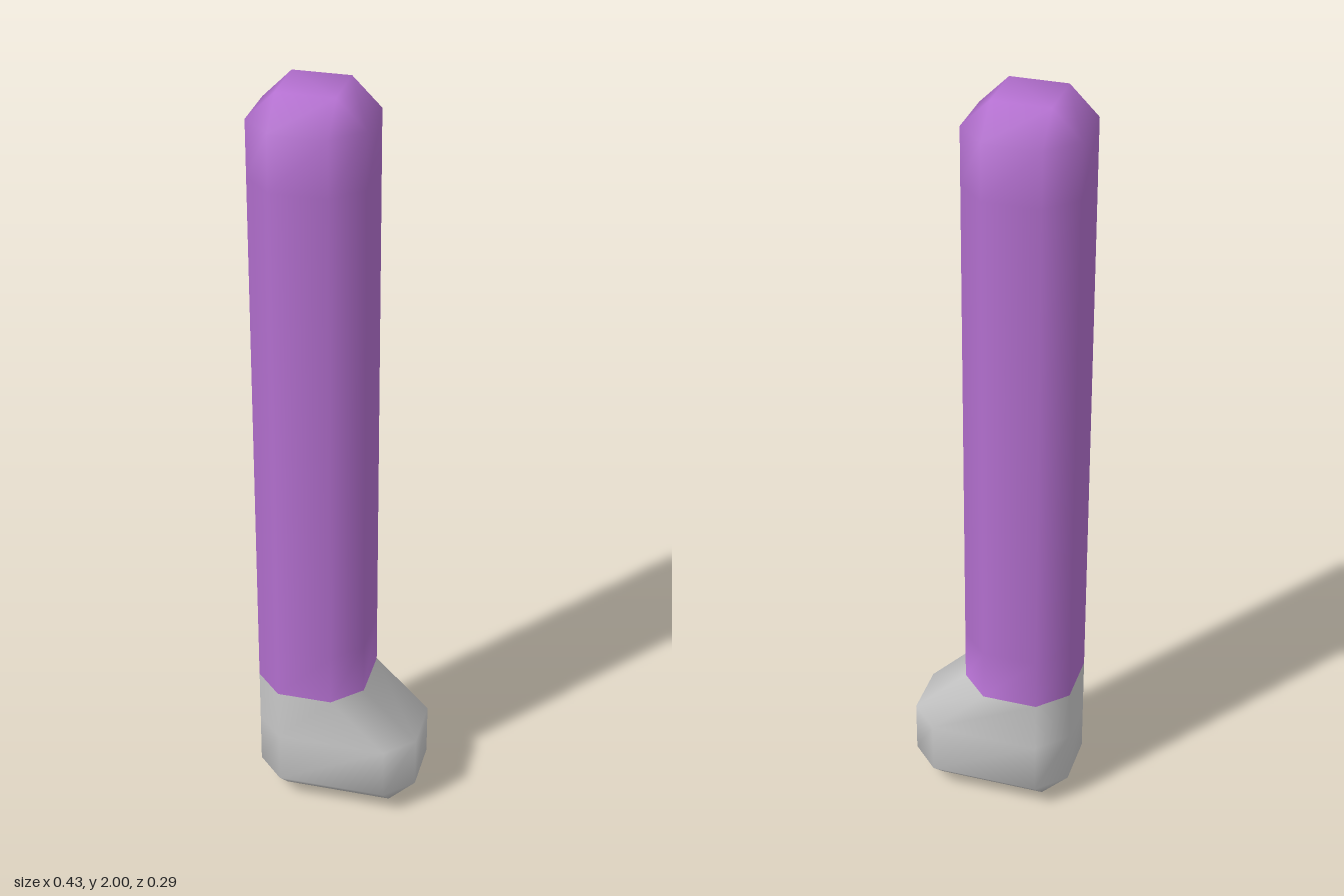
import * as THREE from 'three';
import { mergeVertices } from 'three/addons/utils/BufferGeometryUtils.js';

const U = 1 / 14; // modelling unit: the chamfer size
const ANKLE = 5; // height where the foot meets the leg, in units

// Square with chamfered corners at height y; a cap ring shrinks to the inner square.
function ring(x1, y, cap = false) {
  const x0 = -3, k = cap ? 1 : 0;
  return [
    [x1 - k, 1], [x1 - k, -1], [x1 - 1, k - 2], [x0 + 1, k - 2],
    [x0 + k, -1], [x0 + k, 1], [x0 + 1, 2 - k], [x1 - 1, 2 - k],
  ].map(([x, z]) => [x * U, y * U, z * U]);
}

// Closed smooth skin through the rings, from the sole to the top.
function skin(rings) {
  const n = 8, last = (rings.length - 1) * n, index = [];
  for (let r = 0; r < last; r += n) {
    for (let j = 0; j < n; j++) {
      const a = r + j, b = r + (j + 1) % n;
      index.push(a, b, b + n, a, b + n, a + n);
    }
  }
  for (let j = 1; j < n - 1; j++) {
    index.push(0, j + 1, j, last, last + j, last + j + 1);
  }
  let geo = new THREE.BufferGeometry();
  geo.setAttribute('position', new THREE.Float32BufferAttribute(rings.flat(2), 3));
  geo.setIndex(index);
  geo = mergeVertices(geo);

  // Drop triangles that collapsed where cap corners coincide
  const kept = [], src = geo.index.array;
  for (let i = 0; i < src.length; i += 3) {
    const [a, b, c] = src.slice(i, i + 3);
    if (a !== b && b !== c && c !== a) kept.push(a, b, c);
  }
  geo.setIndex(kept);
  geo.computeVertexNormals();
  return geo;
}

// Part of the skin above or below the ankle, keeping the shared normals.
function section(geo, above) {
  const pos = geo.attributes.position, src = geo.index.array, index = [];
  for (let i = 0; i < src.length; i += 3) {
    const tri = [...src.slice(i, i + 3)];
    const y = tri.reduce((s, v) => s + pos.getY(v), 0) / 3;
    if ((y > ANKLE * U) === above) index.push(...tri);
  }
  const part = geo.clone();
  part.setIndex(index);
  return part.toNonIndexed();
}

export function createModel() {
  const group = new THREE.Group();
  group.name = 'legWithFoot';

  // Foot: sole, long toe section, then a slope back to the ankle
  const rings = [ring(3, 0, true), ring(3, 1), ring(3, 3)];
  // Leg: even rings up to the chamfered top
  for (let y = ANKLE; y <= 27; y += 2) rings.push(ring(1, y));
  rings.push(ring(1, 28, true));
  const geo = skin(rings);

  const addPart = (name, above, color) => {
    const mesh = new THREE.Mesh(section(geo, above), new THREE.MeshStandardMaterial({ color }));
    mesh.name = name;
    group.add(mesh);
  };
  addPart('foot', false, 0xcccccc);
  addPart('leg', true, 0xb470d0);
  return group;
}
